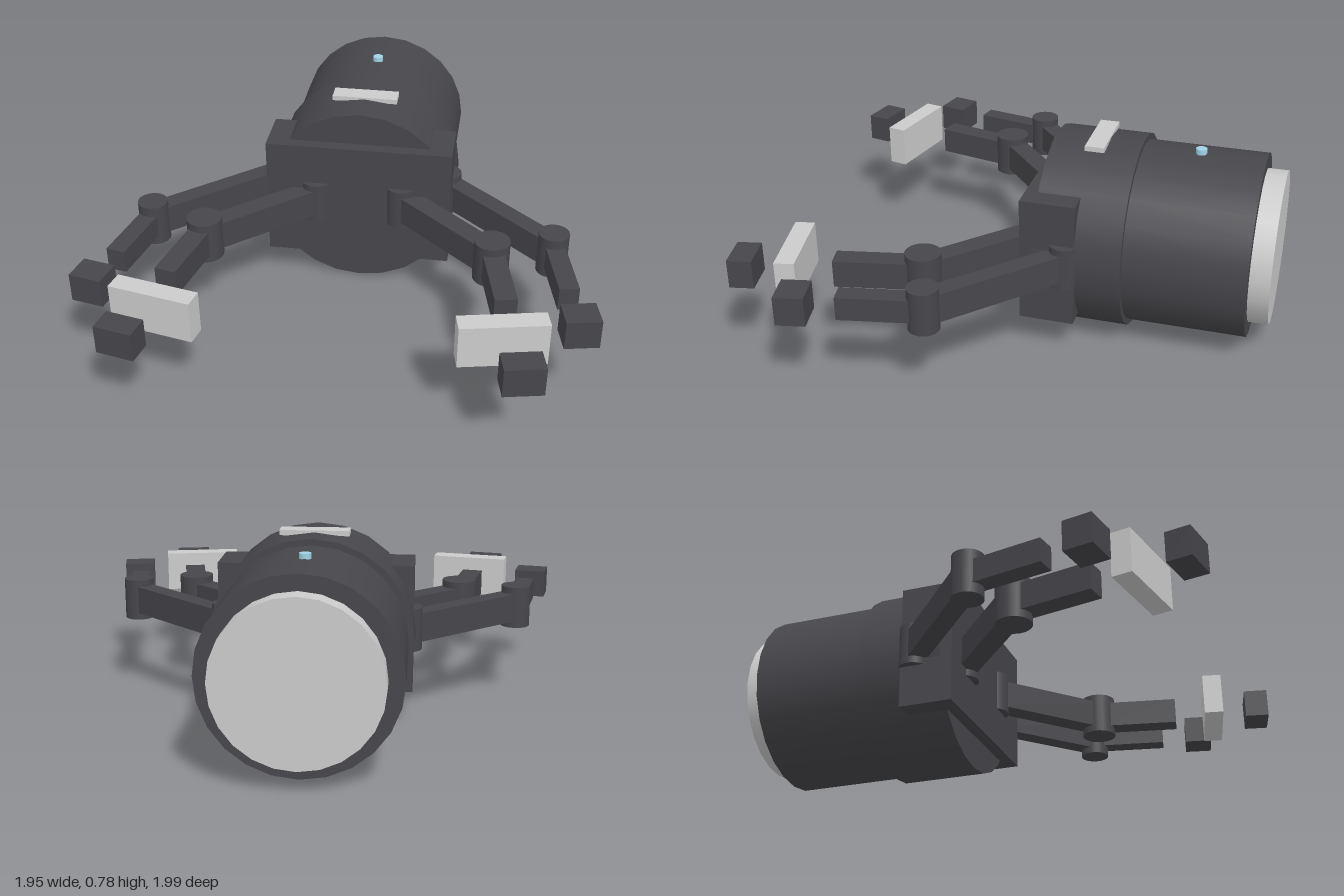
import * as THREE from 'three';

const dark = new THREE.MeshStandardMaterial({ color: 0x47464b });
const pale = new THREE.MeshStandardMaterial({ color: 0xcccccc });
const blue = new THREE.MeshStandardMaterial({ color: 0x9fd3e6 });

const AXIS_Y = 0.395; // height of the body axis and of all the arms
const WRIST_ANGLE = 0.205; // outward turn of hands and forearms

function add(parent, name, geometry, material, x, y, z) {
  const mesh = new THREE.Mesh(geometry, material);
  mesh.name = name;
  mesh.position.set(x, y, z);
  parent.add(mesh);
  return mesh;
}

// Drum lying along z, between two depths
function drum(parent, name, radius, z0, z1, material) {
  const geometry = new THREE.CylinderGeometry(radius, radius, z1 - z0, 24).rotateX(Math.PI / 2);
  add(parent, name, geometry, material, 0, AXIS_Y, (z0 + z1) / 2);
}

// Upright hinge pin
function hinge(parent, name, [x, z], radius) {
  add(parent, name, new THREE.CylinderGeometry(radius, radius, 0.17, 24), dark, x, AXIS_Y, z);
}

// Straight bar between two [x, z] points
function bar(parent, name, a, b, width, height) {
  const dx = b[0] - a[0], dz = b[1] - a[1];
  const geometry = new THREE.BoxGeometry(width, height, Math.hypot(dx, dz));
  const mesh = add(parent, name, geometry, dark, (a[0] + b[0]) / 2, AXIS_Y, (a[1] + b[1]) / 2);
  mesh.rotation.y = Math.atan2(dx, dz);
}

// Block turned in line with the forearms
function block(parent, name, [x, z], size, material) {
  add(parent, name, new THREE.BoxGeometry(...size), material, x, AXIS_Y, z).rotation.y = WRIST_ANGLE;
}

function createArm(name, s) {
  const arm = new THREE.Group();
  arm.name = name;
  const at = ([x, z]) => [x, z];
  hinge(arm, name + 'Shoulder', at(s.shoulder), s.shoulderRadius);
  bar(arm, name + 'UpperArm', s.shoulder, s.elbow, s.width, 0.115);
  hinge(arm, name + 'Elbow', s.elbow, s.elbowRadius);
  bar(arm, name + 'Forearm', s.elbow, s.wrist, s.width, s.forearmHeight);
  block(arm, name + 'Fingertip', s.tip, s.tipSize, dark);
  return arm;
}

// One side: inner arm, outer arm and the pale grip plate
function createSide(name) {
  const side = new THREE.Group();
  side.name = name;
  side.add(createArm('inner', {
    shoulder: [0.175, -0.09], shoulderRadius: 0.064,
    elbow: [0.566, 0.262], elbowRadius: 0.07,
    wrist: [0.635, 0.592], width: 0.085, forearmHeight: 0.108,
    tip: [0.706, 0.93], tipSize: [0.148, 0.115, 0.095],
  }));
  side.add(createArm('outer', {
    shoulder: [0.355, -0.225], shoulderRadius: 0.058,
    elbow: [0.8, 0.175], elbowRadius: 0.06,
    wrist: [0.862, 0.482], width: 0.076, forearmHeight: 0.092,
    tip: [0.902, 0.635], tipSize: [0.13, 0.115, 0.112],
  }));
  block(side, 'gripPlate', [0.63, 0.755], [0.325, 0.17, 0.077], pale);
  return side;
}

export function createModel() {
  const model = new THREE.Group();
  model.name = 'gripper';

  // Body
  drum(model, 'frontCollar', 0.388, -0.45, -0.105, dark);
  drum(model, 'rearBody', 0.364, -0.92, -0.45, dark);
  drum(model, 'rearCap', 0.304, -1, -0.92, pale);
  add(model, 'mountingBlock', new THREE.BoxGeometry(0.76, 0.505, 0.215), dark, 0, 0.397, -0.163);

  // Label plate and indicator light on top
  add(model, 'topPlate', new THREE.BoxGeometry(0.266, 0.02, 0.076), pale, 0, 0.78, -0.282);
  add(model, 'indicatorLight', new THREE.CylinderGeometry(0.022, 0.022, 0.024, 16), blue, 0, 0.765, -0.672);

  // Arms, the right side turned about the body axis to mirror the left
  const left = createSide('leftArms');
  const right = createSide('rightArms');
  right.children.flatMap((c) => (c.isGroup ? c.children : [c])).forEach((mesh) => {
    mesh.position.x *= -1;
    mesh.rotation.y *= -1;
  });
  model.add(left, right);
  return model;
}
